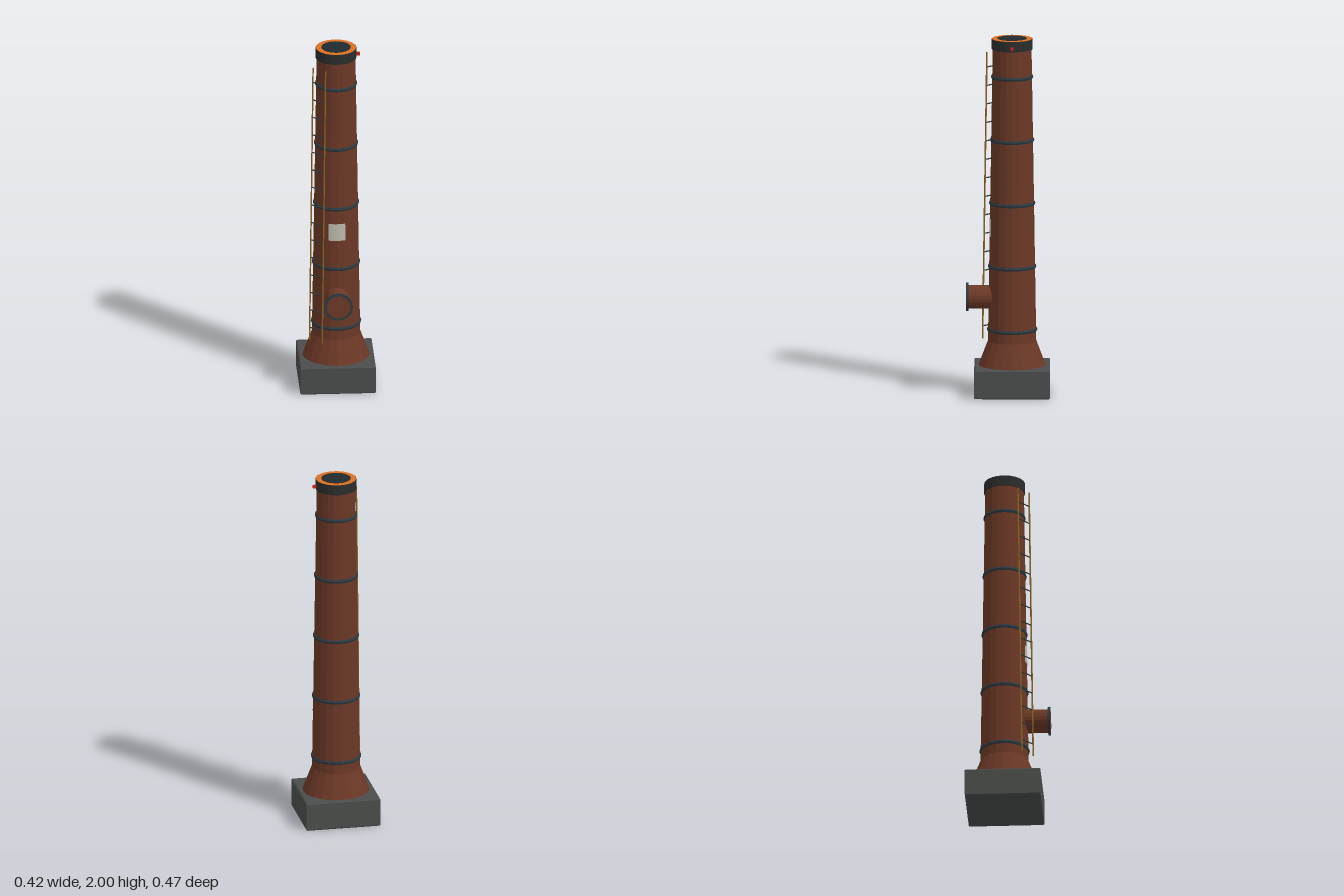
import * as THREE from 'three';

const SIDES = 20;
const AXIS_Z = -0.024; // the chimney stands slightly behind the origin

const material = (color, extra = {}) =>
  new THREE.MeshStandardMaterial({ color, flatShading: true, ...extra });

const brick = material(0x6b3826);
const concrete = material(0x4a4d4b);
const steel = material(0x2c3a40);
const soot = material(0x2b2d2c);
const dark = material(0x1f2a2f);
const orange = material(0xdd6f20);
const ochre = material(0x8a6424);
const red = material(0xcc2218);
const plate = material(0xbdb9ad, { side: THREE.DoubleSide });

function add(parent, name, geometry, mat, x = 0, y = 0, z = 0) {
  const mesh = new THREE.Mesh(geometry, mat);
  mesh.name = name;
  mesh.position.set(x, y, z);
  parent.add(mesh);
  return mesh;
}

// Cylinder strut between two points
function strut(parent, name, a, b, radius, mat) {
  const dir = b.clone().sub(a);
  const mesh = add(parent, name, new THREE.CylinderGeometry(radius, radius, dir.length(), 6), mat);
  mesh.position.copy(a).add(b).multiplyScalar(0.5);
  mesh.quaternion.setFromUnitVectors(new THREE.Vector3(0, 1, 0), dir.normalize());
}

// Radius of the tapering shaft at a height
const shaftRadius = (y) => THREE.MathUtils.mapLinear(y, 0.295, 1.94, 0.134, 0.108);

// Square block with chamfered edges
function plinthGeometry(width, height, bevel) {
  const h = width / 2 - bevel;
  const shape = new THREE.Shape([
    new THREE.Vector2(-h, -h), new THREE.Vector2(h, -h),
    new THREE.Vector2(h, h), new THREE.Vector2(-h, h),
  ]);
  const geometry = new THREE.ExtrudeGeometry(shape, {
    depth: height - 2 * bevel, bevelEnabled: true,
    bevelSize: bevel, bevelThickness: bevel, bevelSegments: 1,
  });
  return geometry.translate(0, 0, bevel).rotateX(-Math.PI / 2);
}

function createLadder() {
  const ladder = new THREE.Group();
  ladder.name = 'ladder';
  const rails = [
    [new THREE.Vector3(-0.153, 0.29, 0.08), new THREE.Vector3(-0.132, 1.91, 0.057)],
    [new THREE.Vector3(-0.086, 0.29, 0.14), new THREE.Vector3(-0.066, 1.91, 0.116)],
  ];
  rails.forEach(([a, b]) => strut(ladder, 'ladderRail', a, b, 0.0045, ochre));
  for (let i = 0; i < 15; i++) {
    const t = (0.362 + i * 0.1045 - 0.29) / 1.62;
    const [left, right] = rails.map(([a, b]) => a.clone().lerp(b, t));
    strut(ladder, 'ladderRung', left, right, 0.0035, steel);
  }
  return ladder;
}

function createDuct() {
  const duct = new THREE.Group();
  duct.name = 'sideDuct';
  duct.position.set(0, 0.54, 0);
  const pipe = new THREE.CylinderGeometry(0.066, 0.066, 0.19, SIDES).rotateX(Math.PI / 2);
  add(duct, 'ductPipe', pipe, brick, 0, 0, 0.137);
  const flange = new THREE.CylinderGeometry(0.08, 0.08, 0.012, SIDES).rotateX(Math.PI / 2);
  add(duct, 'ductFlange', flange, steel, 0, 0, 0.225);
  return duct;
}

export function createModel() {
  const model = new THREE.Group();
  model.name = 'chimney';

  // Foundation
  add(model, 'plinth', plinthGeometry(0.42, 0.16, 0.006), concrete, 0, 0, AXIS_Z);

  // Flared foot and tapering shaft
  const foot = new THREE.CylinderGeometry(0.135, 0.187, 0.137, SIDES);
  add(model, 'flaredFoot', foot, brick, 0, 0.2265, AXIS_Z);
  const shaft = new THREE.CylinderGeometry(0.108, 0.134, 1.645, SIDES);
  add(model, 'shaft', shaft, brick, 0, 1.1175, AXIS_Z);

  // Steel hoops
  for (let i = 0; i < 5; i++) {
    const y = 0.36 + i * 0.356;
    const hoop = new THREE.TorusGeometry(shaftRadius(y), 0.0075, 6, SIDES)
      .rotateX(Math.PI / 2).rotateY(Math.PI / 2).scale(1, 1.5, 1);
    add(model, 'hoop', hoop, steel, 0, y, AXIS_Z);
  }

  // Sooty crown with a glowing rim and dark mouth
  add(model, 'crown', new THREE.CylinderGeometry(0.114, 0.114, 0.058, SIDES), soot, 0, 1.968, AXIS_Z);
  add(model, 'rim', new THREE.CylinderGeometry(0.112, 0.112, 0.004, SIDES), orange, 0, 1.9965, AXIS_Z);
  add(model, 'mouth', new THREE.CylinderGeometry(0.082, 0.082, 0.004, SIDES), dark, 0, 1.998, AXIS_Z);

  // Warning lamp on the crown
  add(model, 'warningLamp', new THREE.BoxGeometry(0.02, 0.016, 0.016), red, 0.122, 1.958, AXIS_Z);

  // Curved blank plate on the front
  const r = shaftRadius(0.936) + 0.002;
  const sweep = 2 * Math.asin(0.047 / r);
  const sheet = new THREE.CylinderGeometry(r - 0.0008, r + 0.0008, 0.1, 6, 1, true, -sweep / 2, sweep);
  add(model, 'frontPlate', sheet, plate, -0.002, 0.936, AXIS_Z);

  model.add(createDuct(), createLadder());
  return model;
}
